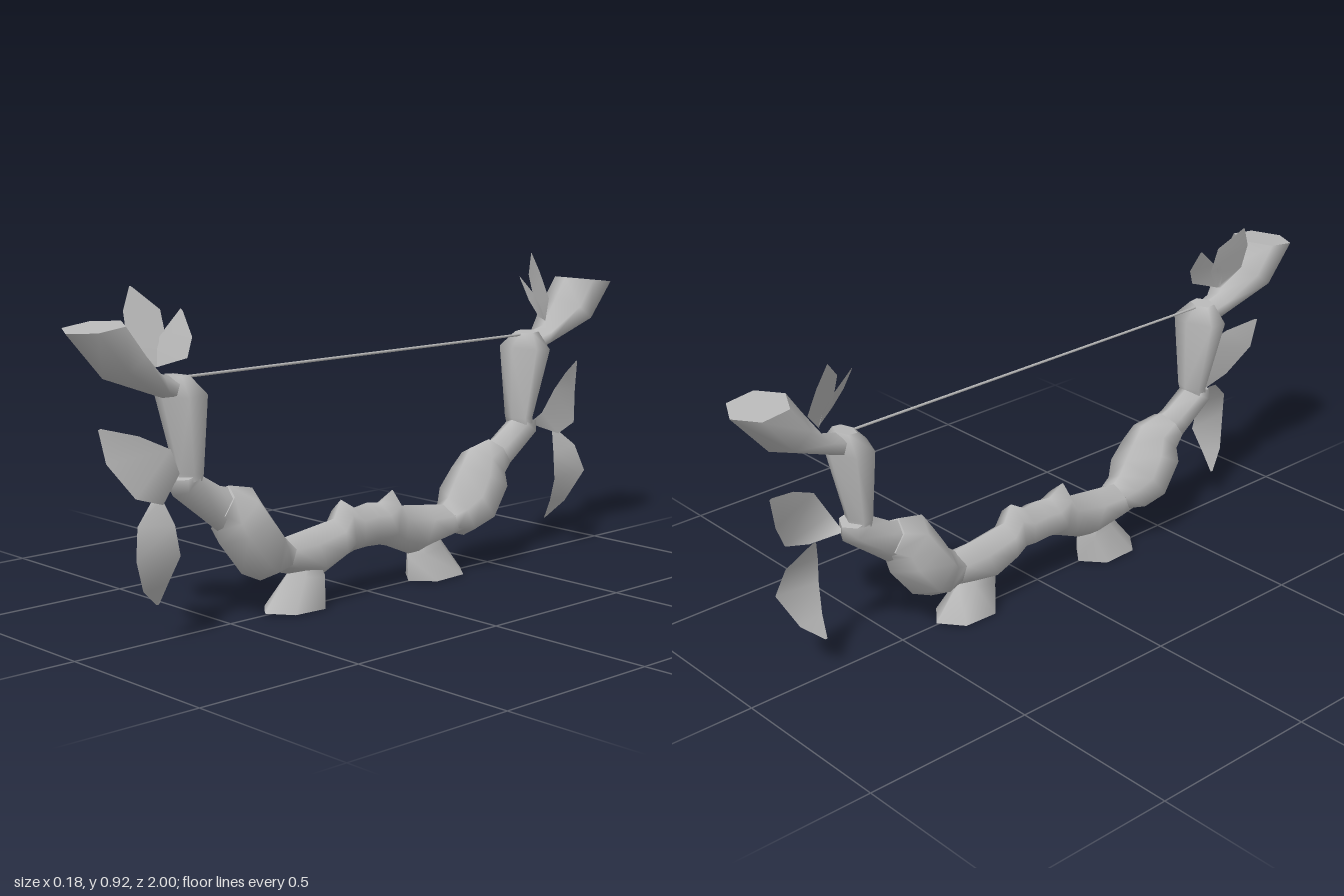
import * as THREE from 'three';

const grey = new THREE.MeshStandardMaterial({ color: 0xb8b8b8 });
grey.name = 'grey';
const leafGrey = grey.clone();
leafGrey.name = 'leafGrey';
leafGrey.side = THREE.DoubleSide;

// Capped hexagonal sweep. Ring: [inner z, inner y, outer z, outer y, half width in x].
// s = -1 mirrors it to the back.
function sweep(rings, s = 1) {
  const pos = [], idx = [];
  const addRing = ([zi, yi, zo, yo, w]) => {
    for (let k = 0; k < 6; k++) {
      const a = k * Math.PI / 3;
      const t = (1 - Math.cos(a)) / 2;
      pos.push(w * Math.sin(a) / Math.sin(Math.PI / 3), yi + (yo - yi) * t, s * (zi + (zo - zi) * t));
    }
  };
  rings.forEach(addRing);
  for (let r = 0; r < rings.length - 1; r++) {
    for (let k = 0; k < 6; k++) {
      const a = r * 6 + k, b = r * 6 + (k + 1) % 6;
      idx.push(a, b, a + 6, b, b + 6, a + 6);
    }
  }
  // separate cap corners keep the ends sharp
  const c0 = pos.length / 3;
  addRing(rings[0]);
  addRing(rings[rings.length - 1]);
  for (let k = 1; k < 5; k++) {
    idx.push(c0, c0 + k + 1, c0 + k, c0 + 6, c0 + 6 + k, c0 + 7 + k);
  }
  // signed volume decides which way the faces must turn
  const P = (i) => new THREE.Vector3().fromArray(pos, i * 3);
  let volume = 0;
  for (let i = 0; i < idx.length; i += 3) volume += P(idx[i]).dot(P(idx[i + 1]).cross(P(idx[i + 2])));
  if (volume < 0) idx.reverse();
  return toGeometry(pos, idx);
}

function toGeometry(pos, idx) {
  const g = new THREE.BufferGeometry();
  g.setAttribute('position', new THREE.Float32BufferAttribute(pos, 3));
  g.setIndex(idx);
  g.computeVertexNormals();
  return g;
}

// Curved leaf. Row: [left z, left y, left x, right z, right y, right x].
function leaf(rows, s) {
  const pos = [], idx = [];
  for (const [za, ya, xa, zb, yb, xb] of rows) pos.push(xa, ya, s * za, xb, yb, s * zb);
  for (let r = 0; r < rows.length - 1; r++) {
    const a = r * 2;
    const quad = [a, a + 1, a + 2, a + 1, a + 3, a + 2];
    idx.push(...(s > 0 ? quad : quad.reverse()));
  }
  return toGeometry(pos, idx);
}

// Half of the arched grip, from the middle outwards
const gripHalf = [
  [0.05, 0.25, 0.05, 0.127, 0.048],
  [0.1, 0.28, 0.075, 0.12, 0.046],
  [0.125, 0.23, 0.11, 0.105, 0.045],
  [0.24, 0.215, 0.18, 0.075, 0.05],
  [0.315, 0.205, 0.29, 0.1, 0.05],
  [0.37, 0.2, 0.36, 0.12, 0.05],
];

const limbParts = {
  foot: [[0.26, 0.17, 0.2, 0.14, 0.035], [0.3, 0.1, 0.16, 0.075, 0.038], [0.38, 0.005, 0.165, 0, 0.066]],
  bulb: [
    [0.3, 0.2, 0.33, 0.12, 0.05],
    [0.33, 0.225, 0.395, 0.1, 0.062],
    [0.355, 0.265, 0.46, 0.13, 0.088],
    [0.385, 0.31, 0.535, 0.225, 0.08],
    [0.42, 0.36, 0.535, 0.258, 0.062],
    [0.5, 0.377, 0.565, 0.285, 0.045],
  ],
  lowerArm: [
    [0.46, 0.36, 0.54, 0.26, 0.043],
    [0.53, 0.38, 0.59, 0.3, 0.04],
    [0.605, 0.425, 0.685, 0.375, 0.042],
    [0.605, 0.435, 0.685, 0.415, 0.04],
  ],
  upperArm: [
    [0.61, 0.4, 0.665, 0.4, 0.04],
    [0.6, 0.43, 0.662, 0.43, 0.042],
    [0.595, 0.643, 0.713, 0.635, 0.075],
    [0.635, 0.685, 0.69, 0.69, 0.035],
  ],
  hornTip: [
    [0.66, 0.68, 0.66, 0.61, 0.035],
    [0.735, 0.7, 0.713, 0.633, 0.042],
    [0.79, 0.775, 0.895, 0.7, 0.077],
    [0.835, 0.84, 1, 0.82, 0.077],
  ],
};

const leaves = {
  tallUpperLeaf: [
    [0.74, 0.715, 0, 0.735, 0.715, 0.01],
    [0.795, 0.775, -0.03, 0.695, 0.775, 0],
    [0.785, 0.855, -0.06, 0.695, 0.855, -0.025],
    [0.757, 0.915, -0.07, 0.753, 0.915, -0.068],
  ],
  shortUpperLeaf: [
    [0.74, 0.72, 0, 0.735, 0.715, 0.01],
    [0.735, 0.76, -0.01, 0.665, 0.735, 0.045],
    [0.7, 0.8, -0.01, 0.637, 0.785, 0.03],
    [0.64, 0.855, -0.012, 0.637, 0.85, -0.008],
  ],
  broadLowerLeaf: [
    [0.69, 0.4, 0, 0.685, 0.41, 0.005],
    [0.755, 0.37, 0.052, 0.692, 0.44, 0.04],
    [0.835, 0.395, 0.045, 0.73, 0.51, 0.055],
    [0.89, 0.485, 0.0, 0.81, 0.55, 0.03],
    [0.907, 0.573, -0.007, 0.9, 0.575, -0.005],
  ],
  hangingLeaf: [
    [0.765, 0.385, 0.025, 0.745, 0.38, 0.035],
    [0.835, 0.325, 0.05, 0.725, 0.315, 0.06],
    [0.857, 0.245, 0.072, 0.718, 0.235, 0.072],
    [0.81, 0.15, 0.035, 0.735, 0.16, 0.04],
    [0.75, 0.1, 0.008, 0.743, 0.1, 0.01],
  ],
};

export function createModel() {
  const model = new THREE.Group();
  model.name = 'bow';
  const add = (name, geometry, material = grey) => {
    const mesh = new THREE.Mesh(geometry, material);
    mesh.name = name;
    model.add(mesh);
    return mesh;
  };

  // Grip, both halves in one smooth sweep
  const mirrored = gripHalf.map(([a, b, c, d, w]) => [-a, b, -c, d, w]).reverse();
  add('grip', sweep([...mirrored, [0, 0.257, 0, 0.13, 0.05], ...gripHalf]));

  // Limbs and leaves, front and back
  for (const [side, s] of [['front', 1], ['back', -1]]) {
    for (const [name, rings] of Object.entries(limbParts)) add(`${side} ${name}`, sweep(rings, s));
    for (const [name, rows] of Object.entries(leaves)) add(`${side} ${name}`, leaf(rows, s), leafGrey);
  }

  // Bowstring
  const string = add('bowstring', new THREE.CylinderGeometry(0.004, 0.004, 1.3, 6));
  string.rotation.x = Math.PI / 2;
  string.position.y = 0.68;

  return model;
}
